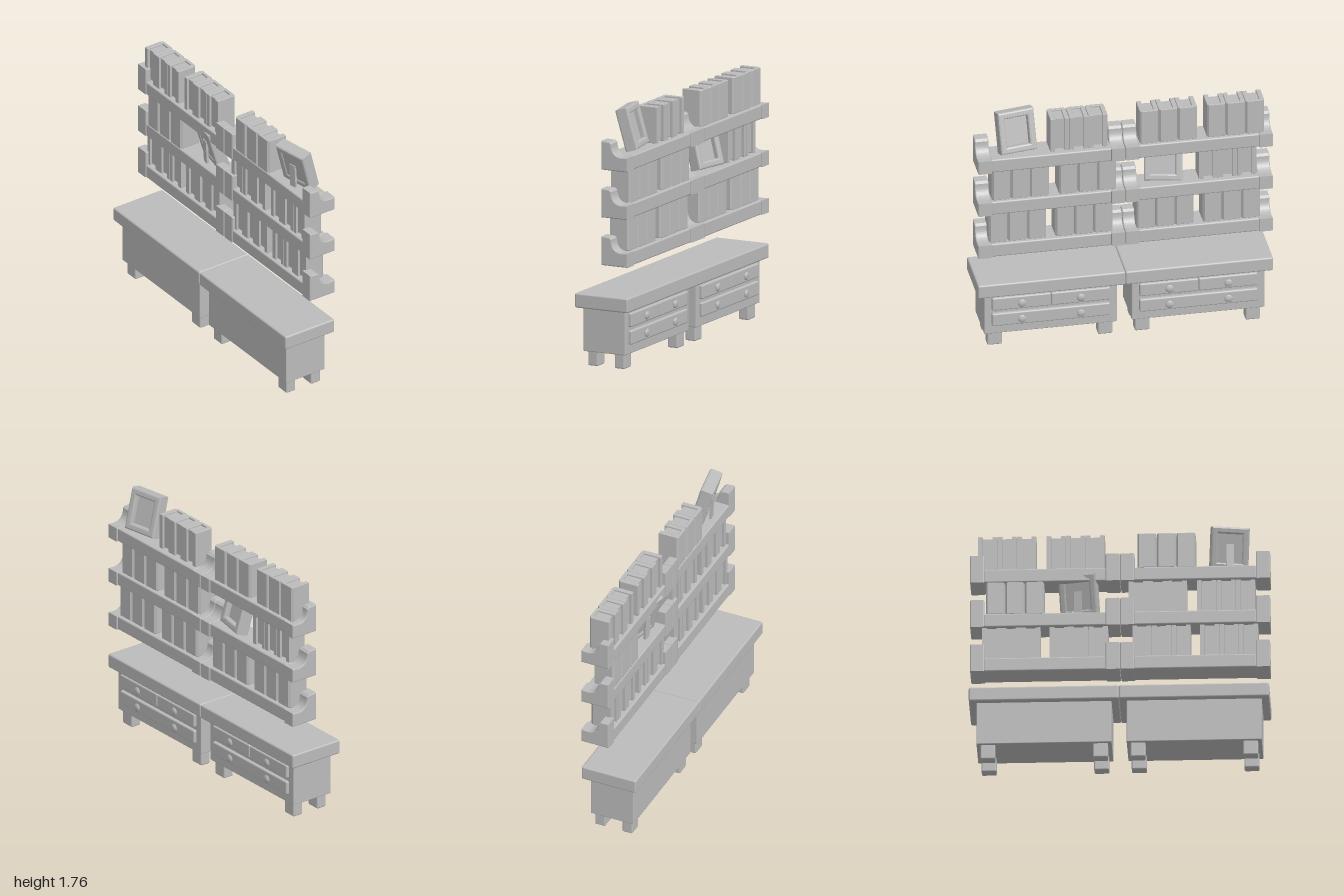
import * as THREE from 'three';
import { RoundedBoxGeometry } from 'three/addons/geometries/RoundedBoxGeometry.js';

const grey = new THREE.MeshStandardMaterial({ color: 0xbbbbbb });
grey.name = 'plain grey';

function add(parent, name, geometry, x = 0, y = 0, z = 0) {
  const mesh = new THREE.Mesh(geometry, grey);
  mesh.name = name;
  mesh.position.set(x, y, z);
  parent.add(mesh);
  return mesh;
}

// Rounded box given by its extents on each axis
function block(parent, name, [x0, x1], [y0, y1], [z0, z1], r = 0.01) {
  const geometry = new RoundedBoxGeometry(x1 - x0, y1 - y0, z1 - z0, 2, r);
  return add(parent, name, geometry, (x0 + x1) / 2, (y0 + y1) / 2, (z0 + z1) / 2);
}

// Extrusion whose bevel stays inside the drawn outline depth
function extrude(shape, depth, bevel) {
  return new THREE.ExtrudeGeometry(shape, {
    depth: depth - 2 * bevel, bevelThickness: bevel, bevelSize: bevel,
    bevelOffset: -bevel, bevelSegments: 2, curveSegments: 10,
  }).translate(0, 0, bevel);
}

// Low cabinet, facing +x, spanning z = 0..1
function cabinet() {
  const g = new THREE.Group();
  g.name = 'cabinet';
  block(g, 'cabinetTop', [-0.2, 0.2], [0.4, 0.5], [0, 1], 0.012);
  block(g, 'cabinetBody', [-0.16, 0.155], [0.1, 0.41], [0.05, 0.95], 0.006);
  for (const x of [-0.1025, 0.0975])
    for (const z of [0.125, 0.875])
      block(g, 'leg', [x - 0.0375, x + 0.0375], [0, 0.11], [z - 0.05, z + 0.05]);

  block(g, 'upperDrawer', [0.145, 0.177], [0.285, 0.38], [0.1, 0.499]);
  block(g, 'upperDrawer', [0.145, 0.177], [0.285, 0.38], [0.501, 0.9]);
  block(g, 'lowerDrawer', [0.145, 0.177], [0.165, 0.26], [0.1, 0.9]);

  // Turned knobs
  const profile = [[0.016, -0.004], [0.014, 0.005], [0.028, 0.009], [0.028, 0.014], [0.018, 0.021], [0, 0.023]]
    .map(([r, h]) => new THREE.Vector2(r, h));
  const knob = new THREE.LatheGeometry(profile, 20).rotateZ(-Math.PI / 2);
  for (const y of [0.332, 0.212])
    for (const z of [0.3, 0.7]) add(g, 'knob', knob, 0.176, y, z);
  return g;
}

// Stepped end bracket with a concave curve
const bracketShape = new THREE.Shape();
bracketShape.moveTo(0, 0);
bracketShape.lineTo(0.2, 0);
bracketShape.lineTo(0.2, 0.098);
bracketShape.lineTo(0.15, 0.095);
bracketShape.quadraticCurveTo(0.078, 0.1, 0.076, 0.18);
bracketShape.lineTo(0.06, 0.194);
bracketShape.lineTo(0, 0.196);
const bracketGeometry = extrude(bracketShape, 0.095, 0.007);

// Shelf board with both brackets, spanning z = 0..1
function shelf(y) {
  const g = new THREE.Group();
  g.name = 'shelf';
  g.position.y = y;
  block(g, 'shelfBoard', [0.004, 0.19], [0, 0.097], [0.09, 0.91]);
  add(g, 'bracket', bracketGeometry, 0, 0, 0.001);
  add(g, 'bracket', bracketGeometry, 0, 0, 0.904);
  return g;
}

// Book cover: a U around the pages, spine on +x
const coverShape = new THREE.Shape();
[[-0.072, -0.064], [0.058, -0.064], [0.072, -0.052], [0.072, 0.052], [0.058, 0.064], [-0.072, 0.064],
  [-0.072, 0.032], [0.05, 0.032], [0.05, -0.032], [-0.072, -0.032]]
  .forEach(([x, z], i) => (i ? coverShape.lineTo(x, z) : coverShape.moveTo(x, z)));
const coverGeometry = extrude(coverShape, 0.25, 0.004).rotateX(-Math.PI / 2);
const pageGeometry = new THREE.BoxGeometry(0.11, 0.226, 0.066);

// Three books side by side, centred on z
function books(parent, y, z, x, spineIn = false) {
  const g = new THREE.Group();
  g.name = 'bookGroup';
  g.position.set(x, y, z);
  for (const i of [-1, 0, 1]) {
    const book = new THREE.Group();
    book.name = 'book';
    book.position.z = i * 0.13;
    if (spineIn) book.rotation.y = Math.PI;
    add(book, 'bookCover', coverGeometry);
    add(book, 'pages', pageGeometry, 0, 0.125, 0);
    g.add(book);
  }
  parent.add(g);
}

// Picture frame leaning back, with a rear strut
function pictureFrame(parent, x, y, z, yaw) {
  const g = new THREE.Group();
  g.name = 'pictureFrame';
  const rect = (target, w, h) => {
    target.moveTo(-w, -h);
    target.lineTo(w, -h);
    target.lineTo(w, h);
    target.lineTo(-w, h);
    target.closePath();
    return target;
  };
  const shape = rect(new THREE.Shape(), 0.128, 0.145);
  shape.holes.push(rect(new THREE.Path(), 0.08, 0.097));
  const border = extrude(shape, 0.09, 0.012).translate(0, 0, -0.045).rotateY(Math.PI / 2);
  add(g, 'frameBorder', border);
  add(g, 'picture', new THREE.BoxGeometry(0.045, 0.21, 0.176), -0.015, 0, 0);
  const strut = add(g, 'frameStrut', new THREE.BoxGeometry(0.016, 0.17, 0.05), -0.055, -0.055, 0);
  strut.rotation.z = -0.22;
  g.position.set(x, y, z);
  g.rotation.set(0, yaw, 0.27);
  parent.add(g);
}

export function createModel() {
  const model = new THREE.Group();
  model.name = 'shelvesAndCabinets';

  // Two matching bays along z
  for (const z of [-1, 0]) {
    const bay = new THREE.Group();
    bay.name = 'bay';
    bay.position.z = z;
    bay.add(cabinet());
    for (const y of [0.71, 1.035, 1.36]) bay.add(shelf(y));
    model.add(bay);
  }

  // Bottom shelves
  for (const z of [0.725, 0.275, -0.275, -0.725]) books(model, 0.807, z, 0.095);
  // Middle shelves
  books(model, 1.13, 0.705, 0.095);
  books(model, 1.13, 0.25, 0.095);
  books(model, 1.13, -0.7, 0.08, true);
  pictureFrame(model, 0.09, 1.285, -0.275, -0.2);
  // Top shelves
  books(model, 1.455, 0.308, 0.08, true);
  books(model, 1.455, -0.297, 0.095);
  books(model, 1.455, -0.753, 0.095);
  pictureFrame(model, 0.088, 1.612, 0.725, 0.17);

  return model;
}
